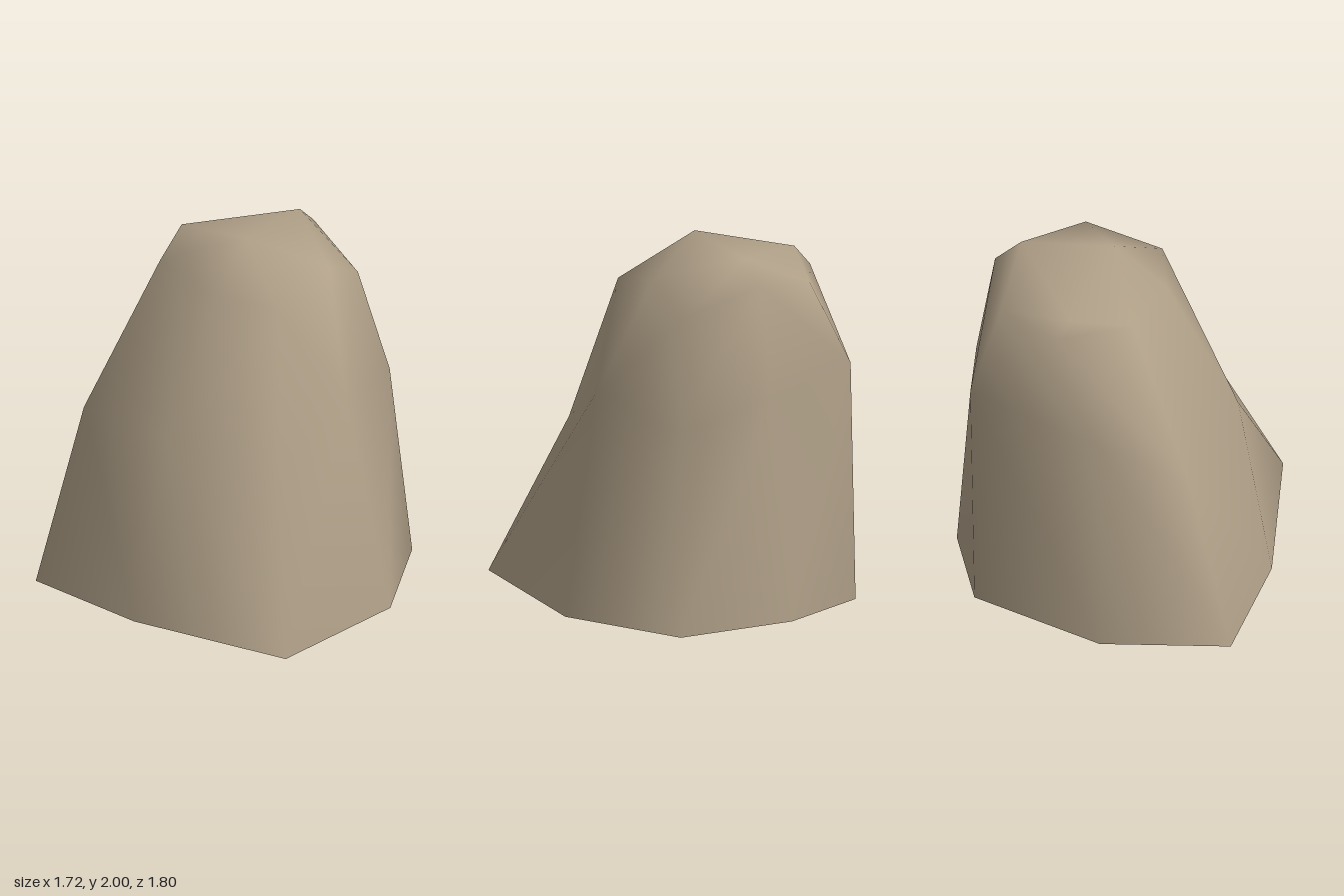
import * as THREE from 'three';

// Cross-sections, counterclockwise seen from above, starting at +x: [x, y, z]
const base = [
  [0.855, 0.01, -0.07], [0.68, 0.01, -0.58], [-0.05, 0.02, -0.9], [-0.75, 0.025, -0.82],
  [-0.86, 0.025, -0.1], [-0.775, 0.025, 0.835], [0.11, 0, 0.9], [0.77, 0, 0.58],
];
const middle = [
  [0.76, 1.25, 0], [0.71, 1.35, -0.53], [-0.03, 1.2, -0.72], [-0.5, 1, -0.68],
  [-0.665, 1.06, -0.02], [-0.43, 0.93, 0.54], [0.04, 1.2, 0.66], [0.66, 1.1, 0.51],
];
const shoulder = [
  [0.66, 1.85, 0.01], [0.57, 1.79, -0.36], [0.24, 1.78, -0.565], [-0.16, 1.81, -0.42],
  [-0.27, 1.76, 0.02], [-0.19, 1.74, 0.38], [0.23, 1.85, 0.41], [0.52, 1.7, 0.4],
];
// Crown corners: peak, right corner, back corner
const crown = [[0.01, 2, 0.02], [0.52, 1.97, 0.02], [0.17, 1.87, -0.51]];

// Joins two rings; panels listed in rising are split from lower left to upper right
function band(index, lower, upper, rising) {
  for (let i = 0; i < 8; i++) {
    const j = (i + 1) % 8;
    const a = lower + i, b = lower + j, c = upper + j, d = upper + i;
    if (rising.includes(i)) index.push(a, b, c, a, c, d);
    else index.push(a, b, d, b, c, d);
  }
}

// Fans triangles from a centre over a run of ring corners
function fan(index, centre, ring, from, to) {
  for (let i = from; i < to; i++) index.push(centre, ring + (i % 8), ring + ((i + 1) % 8));
}

export function createModel() {
  const group = new THREE.Group();
  group.name = 'boulder';

  const stone = new THREE.MeshStandardMaterial({ color: 0xb0a088, side: THREE.DoubleSide });
  stone.name = 'sandy stone';

  const index = [];
  // Tall sides, open underneath
  band(index, 0, 8, [0, 5, 6, 7]);
  band(index, 8, 16, [1, 4, 6, 7]);

  // Rounded crown
  const top = 16, peak = 24, right = 25, back = 26;
  fan(index, right, top, 6, 9);
  fan(index, back, top, 1, 3);
  fan(index, peak, top, 3, 6);
  index.push(right, top + 1, back, back, top + 3, peak, peak, top + 6, right, peak, right, back);

  const geometry = new THREE.BufferGeometry();
  const points = [...base, ...middle, ...shoulder, ...crown].flat();
  geometry.setAttribute('position', new THREE.Float32BufferAttribute(points, 3));
  geometry.setIndex(index);
  geometry.computeVertexNormals();

  const rock = new THREE.Mesh(geometry, stone);
  rock.name = 'rock';
  group.add(rock);
  return group;
}
